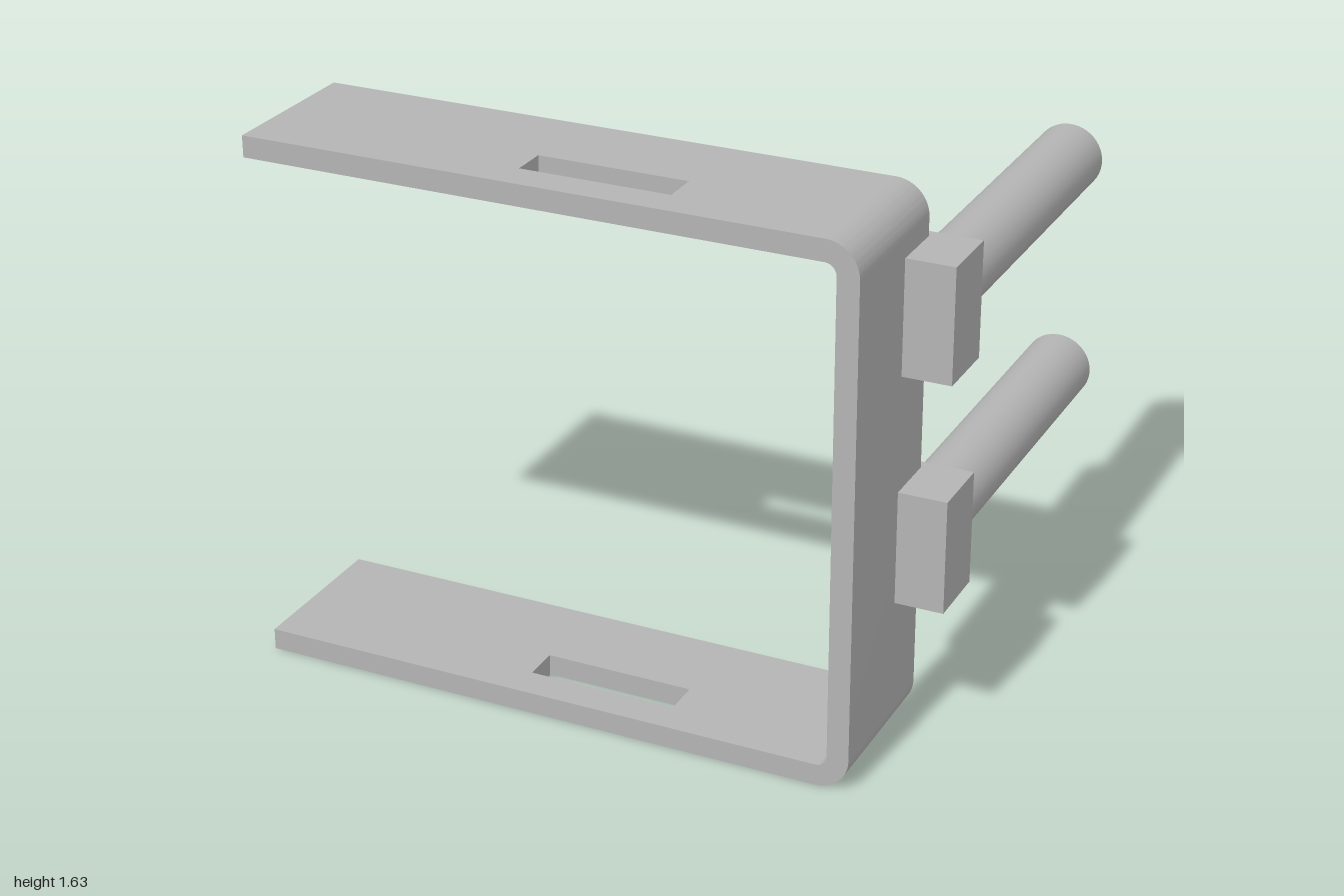
import * as THREE from 'three';
import { toCreasedNormals } from 'three/addons/utils/BufferGeometryUtils.js';

const T = 0.065;                       // sheet thickness
const OUT_X = 0.855, TOP = 1.635;      // outer faces of the bracket
const Z0 = 0.34, Z1 = 0.825;           // back and front edges of the bracket
const R = 0.1, BEND = OUT_X - R;       // outer bend radius and where the bend starts

export function createModel() {
  const group = new THREE.Group();
  const metal = new THREE.MeshStandardMaterial({ color: 0xb4b4b4 });
  metal.name = 'grey metal';

  function add(name, geometry, x = 0, y = 0, z = 0) {
    const mesh = new THREE.Mesh(geometry, metal);
    mesh.name = name;
    mesh.position.set(x, y, z);
    group.add(mesh);
    return mesh;
  }

  // upright wall with its two rounded bends
  const r = R - T, h = Math.PI / 2;
  const profile = new THREE.Shape();
  profile.moveTo(BEND, 0);
  profile.absarc(BEND, R, R, -h, 0, false);
  profile.absarc(BEND, TOP - R, R, 0, h, false);
  profile.lineTo(BEND, TOP - T);
  profile.absarc(BEND, TOP - R, r, h, 0, true);
  profile.absarc(BEND, R, r, 0, -h, true);
  profile.closePath();
  const wall = new THREE.ExtrudeGeometry(profile, { depth: Z1 - Z0, bevelEnabled: false, curveSegments: 12 });
  add('bracketWall', toCreasedNormals(wall, 0.6), 0, 0, Z0);

  // flat arms, each with a rectangular slot; shape y is -z
  const arm = new THREE.Shape([[-1, -Z1], [BEND, -Z1], [BEND, -Z0], [-1, -Z0]].map(p => new THREE.Vector2(...p)));
  arm.holes.push(new THREE.Path([[-0.185, -0.72], [-0.185, -0.61], [0.27, -0.61], [0.27, -0.72]].map(p => new THREE.Vector2(...p))));
  const armGeometry = new THREE.ExtrudeGeometry(arm, { depth: T, bevelEnabled: false });
  armGeometry.rotateX(-h);
  add('lowerArm', armGeometry);
  add('upperArm', armGeometry, 0, TOP - T);

  // round rod with a bore in its rear end
  const rodProfile = [[0, -0.41], [0.105, -0.41], [0.105, 0.825], [0.034, 0.825], [0.034, -0.3], [0, -0.3]]
    .map(p => new THREE.Vector2(...p));
  const rodGeometry = toCreasedNormals(new THREE.LatheGeometry(rodProfile, 48).rotateX(-h), 0.6);

  // mounting block and rod, twice
  const blockGeometry = new THREE.BoxGeometry(0.208, 0.345, 0.205);
  [['lower', 0.612], ['upper', 1.307]].forEach(([side, y]) => {
    add(side + 'Block', blockGeometry, 0.896, y, 0.4085);
    add(side + 'Rod', rodGeometry, 0.86, y, 0);
  });

  return group;
}
